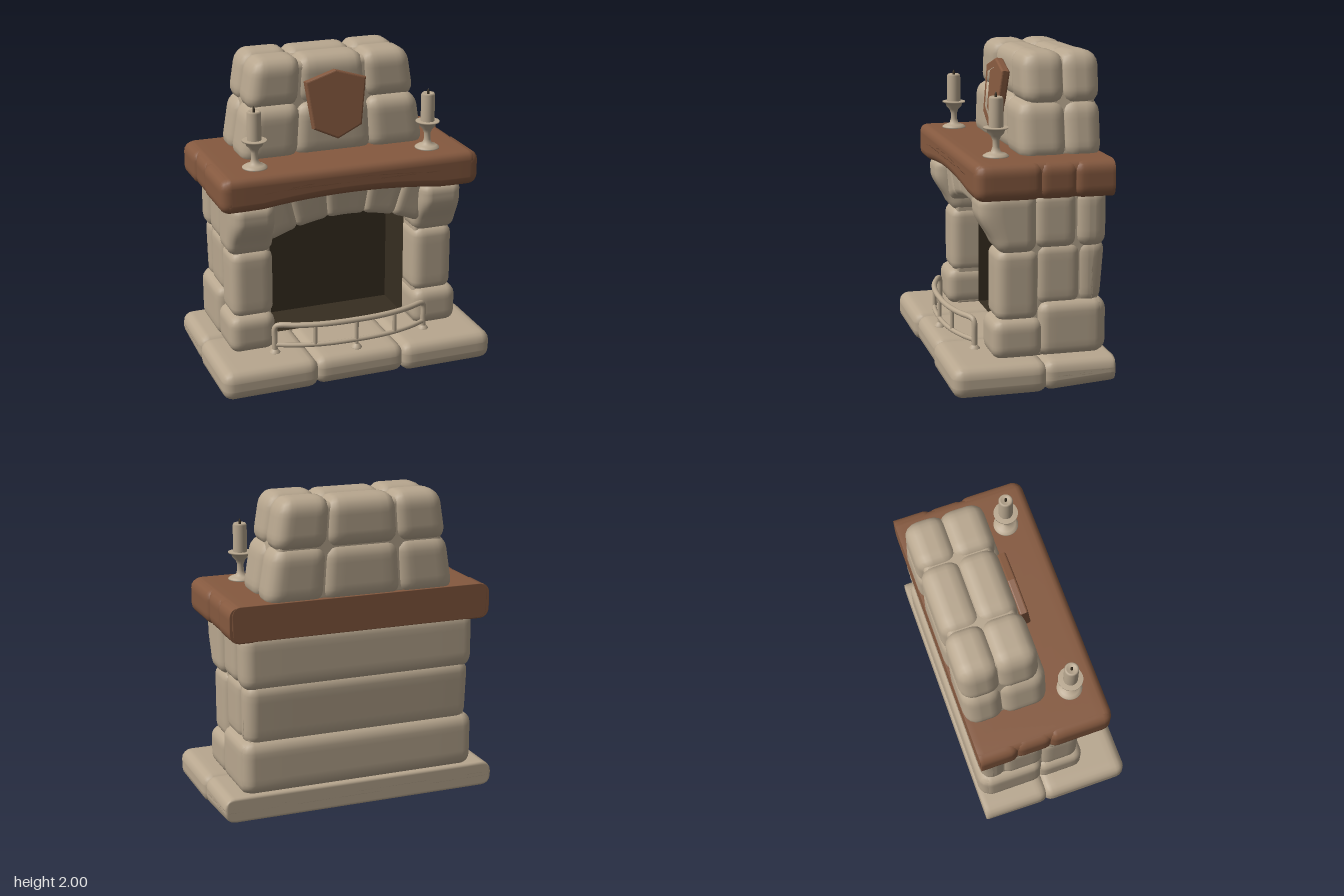
import * as THREE from 'three';
import { mergeVertices } from 'three/addons/utils/BufferGeometryUtils.js';

const stone = new THREE.MeshStandardMaterial({ color: 0xb8a78f });
stone.name = 'stone';
const wood = new THREE.MeshStandardMaterial({ color: 0x85593f });
wood.name = 'wood';
const soot = new THREE.MeshStandardMaterial({ color: 0x362d20, side: THREE.DoubleSide });
soot.name = 'soot';

// Pillow-edged block between two corners; warp(v) may bend it in world space.
function block(name, [x0, x1], [y0, y1], [z0, z1], { r = 0.065, mat = stone, mid = 3, warp } = {}) {
  const half = [(x1 - x0) / 2, (y1 - y0) / 2, (z1 - z0) / 2];
  const centre = [(x0 + x1) / 2, (y0 + y1) / 2, (z0 + z1) / 2];
  r = Math.min(r, ...half.map(h => h * 0.95));
  const n = mid + 2;
  const geo = new THREE.BoxGeometry(2, 2, 2, 2 * n, 2 * n, 2 * n);
  geo.deleteAttribute('uv');
  geo.deleteAttribute('normal');
  const pos = geo.attributes.position;
  const inner = new THREE.Vector3(), off = new THREE.Vector3();
  for (let i = 0; i < pos.count; i++) {
    ['x', 'y', 'z'].forEach((k, a) => {
      const t = pos.getComponent(i, a), s = Math.sign(t), step = Math.round(Math.abs(t) * n);
      inner[k] = s * (half[a] - r) * Math.min(step / mid, 1);
      off[k] = s * (step === n ? 1 : step === n - 1 ? 0.414 : 0);
    });
    inner.addScaledVector(off.normalize(), r).add(off.fromArray(centre));
    if (warp) warp(inner);
    pos.setXYZ(i, inner.x, inner.y, inner.z);
  }
  const merged = mergeVertices(geo, 1e-5);
  merged.computeVertexNormals();
  const mesh = new THREE.Mesh(merged, mat);
  mesh.name = name;
  return mesh;
}

const mirrorX = (s, a, b) => (s > 0 ? [a, b] : [-b, -a]);

function buildHearth() {
  const g = new THREE.Group();
  g.name = 'hearth';
  // The underside is hollowed out below the fire
  const hollow = v => {
    if (v.y < 0.1 && Math.abs(v.x) < 0.68 && v.z > -0.4 && v.z < 0.12) v.y = 0.15;
  };
  for (const s of [-1, 1]) {
    g.add(block('hearthCornerSlab', mirrorX(s, 0.28, 0.905), [0, 0.19], [-0.085, 0.5], { mid: 6, warp: hollow }));
  }
  g.add(block('hearthMiddleSlab', [-0.3, 0.3], [0.003, 0.187], [-0.085, 0.485], { mid: 6, warp: hollow }));
  // Rear slab, cut flat at the wall, with a rising underside
  g.add(block('hearthRearSlab', [-0.9, 0.9], [0.005, 0.195], [-0.55, -0.05], {
    mid: 8,
    warp: v => {
      v.z = Math.max(v.z, -0.5);
      if (v.y < 0.1) v.y += (-0.06 - v.z) * 0.07;
      hollow(v);
    },
  }));
  const ashPit = new THREE.Mesh(new THREE.BoxGeometry(0.92, 0.008, 0.24), soot);
  ashPit.name = 'ashPit';
  ashPit.position.set(0, 0.144, -0.23);
  g.add(ashPit);
  return g;
}

function buildSurround() {
  const g = new THREE.Group();
  g.name = 'surround';
  for (const s of [-1, 1]) {
    // Front pillars with a flared corbel on top
    g.add(block('pillarFoot', mirrorX(s, 0.475, 0.775), [0.18, 0.43], [-0.09, 0.23]));
    g.add(block('pillarShaft', mirrorX(s, 0.475, 0.75), [0.405, 0.855], [-0.07, 0.2]));
    g.add(block('corbel', mirrorX(s, 0.475, 0.77), [0.83, 1.2], [-0.05, 0.2], {
      mid: 6,
      warp: v => {
        const lift = THREE.MathUtils.smoothstep(v.y, 0.85, 1.08);
        if (v.z > 0.08) v.z += 0.1 * lift * (v.z - 0.08) / 0.12;
      },
    }));
    // Side stones behind the pillars, over a solid core
    g.add(block('sideFootStone', mirrorX(s, 0.48, 0.778), [0.18, 0.525], [-0.47, -0.055]));
    g.add(block('sideMiddleStone', mirrorX(s, 0.48, 0.745), [0.49, 0.88], [-0.33, -0.04]));
    g.add(block('sideUpperStone', mirrorX(s, 0.48, 0.757), [0.845, 1.2], [-0.3, -0.03]));
    g.add(block('sideCore', mirrorX(s, 0.49, 0.725), [0.18, 1.2], [-0.44, 0.165], { r: 0.02 }));
  }
  // Full-width courses across the back, the middle one leaning in at its foot
  [[0.18, 0.53, 0.772, -0.49, 0], [0.48, 0.89, 0.742, -0.488, 0.03], [0.84, 1.21, 0.762, -0.487, 0]]
    .forEach(([y0, y1, x, z0, lean]) => g.add(block('rearCourse', [-x, x], [y0, y1], [z0, -0.29], {
      r: 0.075,
      warp: v => { if (v.z < -0.4) v.z += lean * (y1 - v.y) / (y1 - y0); },
    })));
  // Arch stones fan outward and follow a shallow curve
  const joints = [-0.5, -0.32, -0.12, 0.12, 0.32, 0.5];
  for (let i = 0; i < 5; i++) {
    g.add(block('archStone', [joints[i] - 0.007, joints[i + 1] + 0.007], [1, 1.24], [-0.03, 0.215], {
      r: 0.04,
      warp: v => {
        const t = (1.24 - v.y) / 0.24;
        v.y = 1.24 - t * (0.22 + 0.45 * v.x * v.x);
        v.x *= 1 + 0.22 * (1 - t);
        if (v.z > 0.09) v.z += 0.03 * (1 - t);
      },
    }));
  }
  return g;
}

// Five-sided soot-lined box, open at the front
function buildFirebox() {
  const geo = new THREE.BoxGeometry(0.944, 0.95, 0.3);
  const idx = Array.from(geo.index.array);
  idx.splice(24, 6);
  geo.setIndex(idx);
  geo.clearGroups();
  const mesh = new THREE.Mesh(geo, soot);
  mesh.name = 'firebox';
  mesh.position.set(0, 0.673, -0.13);
  return mesh;
}

function buildMantel() {
  const g = new THREE.Group();
  g.name = 'mantel';
  g.add(block('mantelBeam', [-0.83, 0.83], [1.17, 1.39], [-0.56, 0.35], {
    r: 0.05, mat: wood, mid: 8,
    warp: v => {
      v.z = Math.max(v.z, -0.5);
      const arch = 0.04 * Math.max(0, 1 - (v.x / 0.6) ** 2);
      if (v.y < 1.28) v.y += arch * THREE.MathUtils.smoothstep(v.z, 0, 0.25);
    },
  }));
  for (const s of [-1, 1]) {
    for (const [z0, z1, x] of [[-0.065, 0.349, 0.85], [-0.285, -0.025, 0.842], [-0.57, -0.245, 0.85]]) {
      g.add(block('mantelEnd', mirrorX(s, 0.65, x), [1.166, 1.388], [z0, z1], {
        r: 0.06, mat: wood, warp: v => { v.z = Math.max(v.z, -0.498); },
      }));
    }
  }
  return g;
}

function buildChimney() {
  const g = new THREE.Group();
  g.name = 'chimney';
  const taper = v => { v.x *= 1 - 0.27 * (v.y - 1.39); };
  const columns = [[-0.615, -0.235], [-0.265, 0.265], [0.235, 0.615]];
  [[1.35, 1.715, 0.022], [1.68, 2, -0.015]].forEach(([y0, y1, front], row) => {
    columns.forEach((c, i) => {
      const dip = i === 1 ? 0.015 : 0;
      g.add(block('chimneyFrontStone', c, [y0, y1 - dip * row * 0.3], [-0.285, front - dip], { r: 0.085, warp: taper }));
      g.add(block('chimneyRearStone', c, [y0, y1 - dip * row * 0.3], [-0.5, -0.25], { r: 0.085, warp: taper }));
    });
  });
  g.add(block('chimneyCore', [-0.58, 0.58], [1.36, 1.965], [-0.47, -0.05], { r: 0.04, warp: taper }));
  return g;
}

// Leaning wooden shield with a raised rim
function buildShield() {
  const g = new THREE.Group();
  g.name = 'shield';
  const outline = k => [[0, 0.205], [0.188, 0.148], [0.15, -0.135], [0, -0.205], [-0.15, -0.135], [-0.188, 0.148]]
    .map(([x, y]) => new THREE.Vector2(x * k, y * k));
  const rim = new THREE.Shape(outline(1));
  rim.holes.push(new THREE.Path(outline(0.78)));
  const bevel = { bevelEnabled: true, bevelThickness: 0.012, bevelSize: 0.012, bevelSegments: 3 };
  const rimMesh = new THREE.Mesh(new THREE.ExtrudeGeometry(rim, { depth: 0.03, ...bevel }), wood);
  rimMesh.name = 'shieldRim';
  const panel = new THREE.Mesh(new THREE.ExtrudeGeometry(new THREE.Shape(outline(0.82)), { depth: 0.026, bevelEnabled: false }), wood);
  panel.name = 'shieldPanel';
  g.add(rimMesh, panel);
  g.position.set(0, 1.695, 0.005);
  g.rotation.x = -0.115;
  return g;
}

function lathe(name, points, mat, segments = 28) {
  const mesh = new THREE.Mesh(new THREE.LatheGeometry(points.map(p => new THREE.Vector2(...p)), segments), mat);
  mesh.name = name;
  return mesh;
}

function buildCandle(x) {
  const g = new THREE.Group();
  g.name = 'candlestick';
  g.add(lathe('candleHolder', [[0, 0], [0.078, 0], [0.078, 0.01], [0.06, 0.022], [0.03, 0.032], [0.021, 0.06],
    [0.021, 0.1], [0.03, 0.125], [0.05, 0.145], [0.056, 0.165], [0.076, 0.172], [0.076, 0.18], [0, 0.18]], stone));
  g.add(lathe('candle', [[0.044, 0.17], [0.044, 0.35], [0.037, 0.362], [0.028, 0.355], [0, 0.35]], stone));
  g.add(lathe('wick', [[0.008, 0.34], [0.008, 0.375], [0, 0.392]], soot, 8));
  g.position.set(x, 1.388, 0.16);
  return g;
}

// Bowed rail guarding the opening
function buildFender() {
  const g = new THREE.Group();
  g.name = 'fender';
  const bow = x => 0.392 - 0.11 * Math.abs(x / 0.51) ** 2.5;
  const tube = (name, pts, r, seg) => {
    const curve = new THREE.CatmullRomCurve3(pts.map(p => new THREE.Vector3(...p)), false, 'centripetal');
    const mesh = new THREE.Mesh(new THREE.TubeGeometry(curve, seg, r, 10), stone);
    mesh.name = name;
    g.add(mesh);
  };
  const rail = (y, end) => Array.from({ length: 13 }, (_, i) => (i / 6 - 1) * end).map(x => [x, y, bow(x)]);
  const leg = s => [[s * 0.51, 0.19, bow(0.51)], [s * 0.51, 0.28, bow(0.51)], [s * 0.51, 0.35, bow(0.51)], [s * 0.5, 0.372, bow(0.5)]];
  tube('topRail', [...leg(-1), ...rail(0.38, 0.475), ...leg(1).reverse()], 0.018, 90);
  tube('lowerRail', rail(0.242, 0.51), 0.015, 40);
  for (const x of [-0.27, 0, 0.27]) tube('baluster', [[x, x ? 0.24 : 0.19, bow(x)], [x, 0.38, bow(x)]], 0.014, 2);
  for (const x of [-0.51, 0, 0.51]) {
    const foot = lathe('fenderFoot', [[0.034, 0], [0.034, 0.008], [0.022, 0.022], [0.012, 0.032]], stone, 16);
    foot.position.set(x, 0.186, bow(x));
    g.add(foot);
  }
  return g;
}

export function createModel() {
  const model = new THREE.Group();
  model.name = 'fireplace';
  model.add(buildHearth(), buildSurround(), buildFirebox(), buildMantel(), buildChimney(),
    buildShield(), buildCandle(-0.58), buildCandle(0.565), buildFender());
  return model;
}
